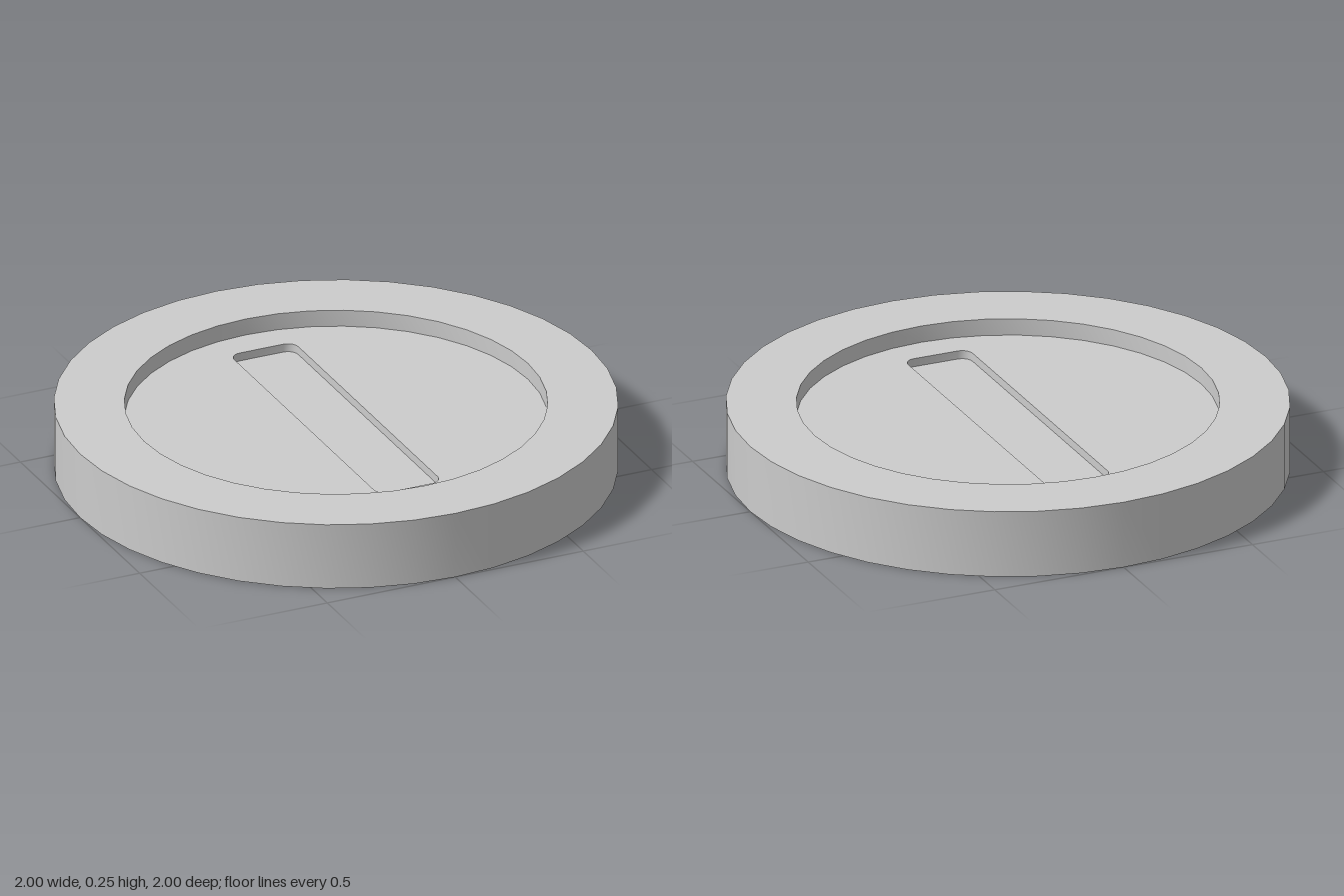
import * as THREE from 'three';
import { toCreasedNormals } from 'three/addons/utils/BufferGeometryUtils.js';

const HEIGHT = 0.25, RECESS = 0.0625, SLOT_DEPTH = 0.031;
const RECESS_R = 0.75, SEGMENTS = 40;

// Slot outline with rounded corners, counter-clockwise
function slotPoints(halfW, halfL, r) {
  const points = [];
  [[1, 1], [-1, 1], [-1, -1], [1, -1]].forEach(([sx, sy], corner) => {
    for (let i = 0; i <= 5; i++) {
      const a = (corner + i / 5) * Math.PI / 2;
      points.push(new THREE.Vector2(
        sx * (halfW - r) + r * Math.cos(a), sy * (halfL - r) + r * Math.sin(a)));
    }
  });
  return points;
}

// Inward-facing wall that drops from an outline
function wallGeometry(points, depth) {
  const positions = [];
  points.forEach((a, i) => {
    const b = points[(i + 1) % points.length];
    positions.push(
      a.x, a.y, 0, b.x, b.y, 0, b.x, b.y, -depth,
      a.x, a.y, 0, b.x, b.y, -depth, a.x, a.y, -depth);
  });
  const geometry = new THREE.BufferGeometry();
  geometry.setAttribute('position', new THREE.Float32BufferAttribute(positions, 3));
  return toCreasedNormals(geometry, 0.6);
}

export function createModel() {
  const model = new THREE.Group();
  model.name = 'slottedDisc';
  const material = new THREE.MeshStandardMaterial({ color: 0xcccccc });

  const addMesh = (parent, name, geometry) => {
    const mesh = new THREE.Mesh(geometry, material);
    mesh.name = name;
    parent.add(mesh);
    return mesh;
  };

  // Raised rim, including the walls of both recesses
  const profile = [
    [RECESS_R, RECESS], [RECESS_R, 0], [1, 0],
    [1, HEIGHT], [RECESS_R, HEIGHT], [RECESS_R, HEIGHT - RECESS],
  ].map(([x, y]) => new THREE.Vector2(x, y));
  addMesh(model, 'rim', toCreasedNormals(new THREE.LatheGeometry(profile, SEGMENTS), 0.6));

  // Recessed face with a sunken slot
  const slot = slotPoints(0.125, 0.625, 0.04);
  const circle = Array.from({ length: SEGMENTS }, (_, i) => {
    const a = i / SEGMENTS * Math.PI * 2;
    return new THREE.Vector2(RECESS_R * Math.cos(a), RECESS_R * Math.sin(a));
  });
  const faceShape = new THREE.Shape(circle);
  faceShape.holes.push(new THREE.Path(slot));
  const faceGeometry = new THREE.ShapeGeometry(faceShape);
  const slotWallGeometry = wallGeometry(slot, SLOT_DEPTH);
  const slotFloorGeometry = new THREE.ShapeGeometry(new THREE.Shape(slot));

  // The same face is mirrored on the top and underside
  for (const side of [1, -1]) {
    const face = new THREE.Group();
    face.name = side > 0 ? 'topFace' : 'bottomFace';
    addMesh(face, 'recessFloor', faceGeometry);
    addMesh(face, 'slotWall', slotWallGeometry);
    addMesh(face, 'slotFloor', slotFloorGeometry).position.z = -SLOT_DEPTH;
    face.rotation.x = -side * Math.PI / 2;
    face.position.y = HEIGHT / 2 + side * (HEIGHT / 2 - RECESS);
    model.add(face);
  }
  return model;
}
